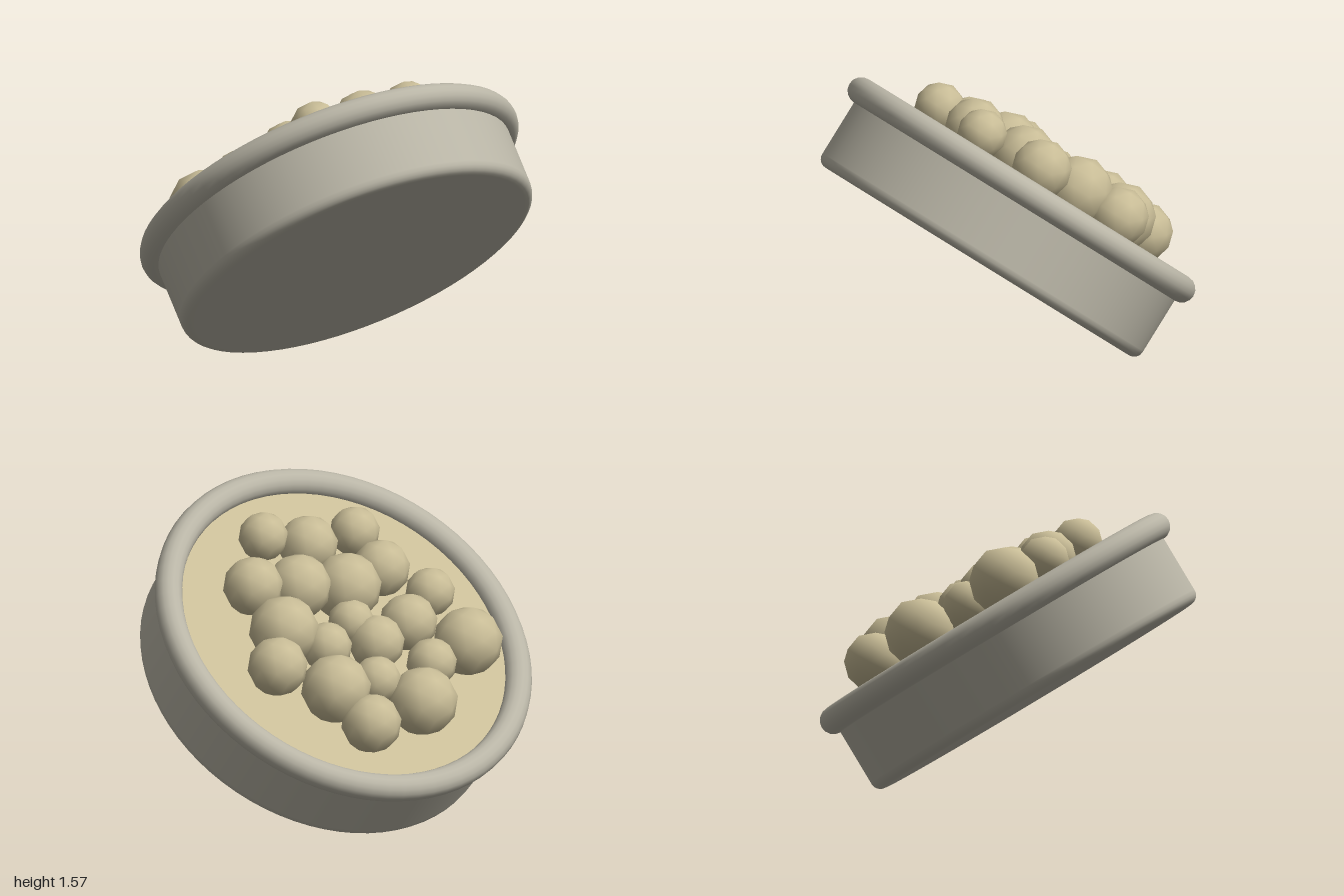
import * as THREE from 'three';

const RADIUS = 0.958, HEIGHT = 0.428, BEVEL = 0.05;

export function createModel() {
  const model = new THREE.Group();
  const stone = new THREE.MeshStandardMaterial({ color: 0xb9b5a6 });
  stone.name = 'grey dish';
  const sand = new THREE.MeshStandardMaterial({ color: 0xc9bd97 });
  sand.name = 'pale sand';

  const add = (parent, name, geometry, material) => {
    const mesh = new THREE.Mesh(geometry, material);
    mesh.name = name;
    parent.add(mesh);
    return mesh;
  };

  // Tilted dish, built upright around its own axis
  const dish = new THREE.Group();
  dish.name = 'dish';
  dish.rotation.set(THREE.MathUtils.degToRad(-25), 0, THREE.MathUtils.degToRad(30));
  dish.position.set(0.147, 0.574, 0.116);
  model.add(dish);

  // Wall and base with a rounded lower edge
  const profile = [new THREE.Vector2(0, 0), new THREE.Vector2(RADIUS - BEVEL - 0.005, 0)];
  for (let i = 0; i <= 5; i++) {
    const a = (i / 5) * Math.PI / 2;
    profile.push(new THREE.Vector2(
      RADIUS - BEVEL + BEVEL * Math.sin(a), BEVEL - BEVEL * Math.cos(a)));
  }
  profile.push(new THREE.Vector2(RADIUS, BEVEL + 0.005), new THREE.Vector2(RADIUS, HEIGHT));
  add(dish, 'dishBody', new THREE.LatheGeometry(profile, 72), stone);

  // Rolled rim
  const rim = add(dish, 'rim', new THREE.TorusGeometry(RADIUS, 0.07, 16, 72), stone);
  rim.rotation.x = Math.PI / 2;
  rim.position.y = HEIGHT;

  // Flat filling inside the rim
  const filling = add(dish, 'filling', new THREE.CylinderGeometry(0.892, 0.892, 0.04, 72), sand);
  filling.position.y = HEIGHT - 0.02;

  // Heap of balls: x, z and radius of each
  const balls = [
    [-0.38, -0.58, 0.155], [-0.18, -0.54, 0.18], [0.1, -0.64, 0.155], [-0.56, -0.27, 0.18],
    [-0.33, -0.32, 0.125], [-0.07, -0.34, 0.13], [0.13, -0.43, 0.18], [0.33, -0.31, 0.155],
    [-0.27, -0.13, 0.145], [-0.13, -0.11, 0.12], [0.14, -0.14, 0.17], [-0.53, -0.02, 0.13],
    [0.37, 0, 0.128], [-0.37, 0.1, 0.15], [-0.06, 0.04, 0.18], [0.17, 0.12, 0.155],
    [-0.65, 0.22, 0.18], [-0.41, 0.35, 0.128], [-0.17, 0.28, 0.15], [0, 0.38, 0.13],
  ];
  const up = new THREE.Vector3(0, 1, 0).applyEuler(dish.rotation);
  const centre = dish.position.clone().addScaledVector(up, HEIGHT);
  const heap = new THREE.Group();
  heap.name = 'ballHeap';
  model.add(heap);
  for (const [x, z, r] of balls) {
    // Height that keeps each ball resting on the tilted filling
    const lift = 0.11 + 0.22 * r;
    const y = centre.y + (lift - up.x * (x - centre.x) - up.z * (z - centre.z)) / up.y;
    const ball = add(heap, 'ball', new THREE.IcosahedronGeometry(r, 1), sand);
    ball.position.set(x, y, z);
    ball.rotation.copy(dish.rotation);
  }
  return model;
}
